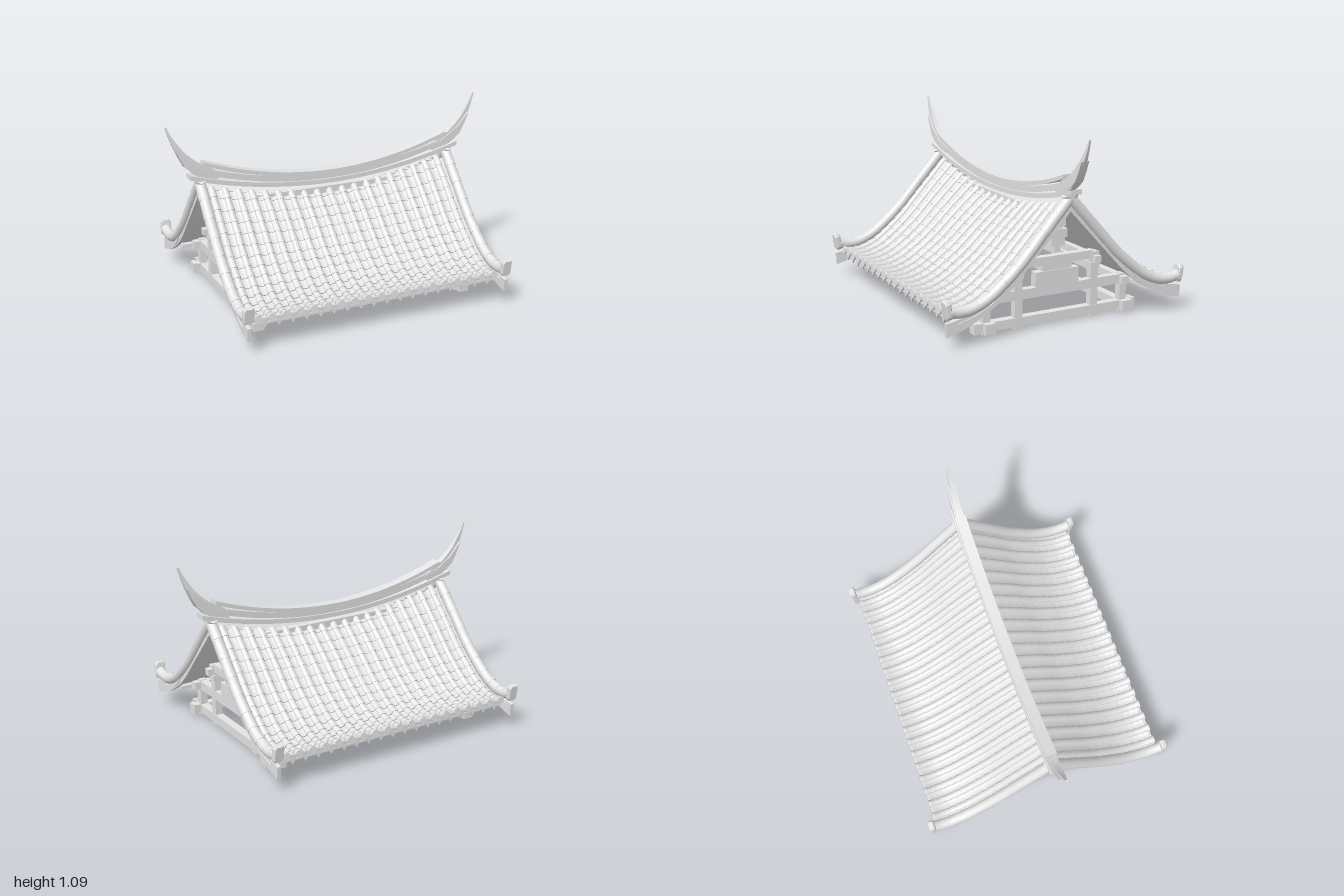
import * as THREE from 'three';
import { toCreasedNormals } from 'three/addons/utils/BufferGeometryUtils.js';

const V2 = (x, y) => new THREE.Vector2(x, y);
const stone = new THREE.MeshStandardMaterial({ color: 0xe4e4e4, side: THREE.DoubleSide });
stone.name = 'pale grey';

// gable edge line, and both edges of the gable board, as (z, y)
const verge = new THREE.SplineCurve([[0, 0.745], [0.1, 0.635], [0.2, 0.525], [0.3, 0.415], [0.4, 0.325],
  [0.5, 0.25], [0.6, 0.207], [0.68, 0.2], [0.74, 0.212]].map(p => V2(...p)));
const boardTop = new THREE.SplineCurve([[0, 0.75], [0.2, 0.525], [0.4, 0.315], [0.6, 0.19], [0.755, 0.15]].map(p => V2(...p)));
const boardLow = new THREE.SplineCurve([[0, 0.67], [0.2, 0.455], [0.4, 0.25], [0.6, 0.125], [0.75, 0.075]].map(p => V2(...p)));

function add(parent, geo, name, x = 0, y = 0, z = 0) {
  const m = new THREE.Mesh(geo, stone);
  m.name = name;
  m.position.set(x, y, z);
  parent.add(m);
  return m;
}

// joins cross-sections (arrays of [x, y, z]) into one skin
function loft(sections, closed, capped) {
  const n = sections[0].length, idx = [];
  for (let i = 0; i < sections.length - 1; i++)
    for (let j = 0; j < (closed ? n : n - 1); j++) {
      const a = i * n + j, c = i * n + (j + 1) % n;
      idx.push(a, c, a + n, a + n, c, c + n);
    }
  if (capped) {
    const e = (sections.length - 1) * n;
    for (let j = 1; j < n - 1; j++) idx.push(0, j + 1, j, e, e + j, e + j + 1);
  }
  const g = new THREE.BufferGeometry();
  g.setAttribute('position', new THREE.Float32BufferAttribute(sections.flat(2), 3));
  g.setIndex(idx);
  return toCreasedNormals(g, 0.6);
}

// point on the sagging slope with its upward normal
function slope(t, x) {
  const p = verge.getPoint(t), d = verge.getTangent(t);
  const sag = 0.11 * Math.max(0, 1 - (x / 0.78) ** 2) * Math.max(0, 1 - p.x / 0.72) ** 2;
  return { z: p.x, y: p.y - 0.03 - sag, nz: -d.y, ny: d.x };
}

// overlapping pieces down the slope; shape(k) gives [sideways, height] pairs,
// back extends the top end past the ridge line
function tileRun(x, count, end, shape, closed, capped, lift = 0, back = 0) {
  const sections = [];
  for (let i = 0; i < count; i++)
    for (const k of [0, 0.5, 1]) {
      const p = slope((i + k) / count * end, x), b = i + k === 0 ? back : 0;
      sections.push(shape(k).map(([u, h]) =>
        [x + u, p.y + lift + p.ny * h + p.nz * b, p.z + p.nz * h - p.ny * b]));
    }
  return loft(sections, closed, capped);
}
const arc = (r, sweep, n) => Array.from({ length: n + 1 }, (_, j) =>
  [r * Math.cos(sweep * j / n), r * Math.sin(sweep * j / n)]);

// bar running along x; rows are [xLow, yLow, xTop, yTop, halfWidth]
const bar = rows => loft(rows.map(([xl, yl, xt, yt, w]) =>
  [[xt, yt, -w], [xt, yt, w], [xl, yl, w], [xl, yl, -w]]), true, true);

function ridgeLayer(length, low, high, rise, w) {
  return bar(Array.from({ length: 33 }, (_, i) => {
    const x = (i / 16 - 1) * length, d = rise * (x / 0.8) ** 2;
    return [x, low + d, x, high + d, w];
  }));
}

function makeSlope() {
  const half = new THREE.Group();
  half.name = 'roofSlope';
  const END = 0.945, edge = slope(END, 0);

  // underside boarding
  const under = [];
  for (let i = 0; i <= 20; i++)
    under.push(Array.from({ length: 17 }, (_, j) => {
      const x = 0.8 - j * 0.1, p = slope(i / 20 * END, x);
      return [x, p.y - 0.02, p.z];
    }));
  add(half, loft(under, false, false), 'roofBoarding');

  // round cover tiles with end discs
  for (let i = 0; i < 19; i++) {
    const x = (i - 9) * 0.0822;
    add(half, tileRun(x, 15, END, k => arc(0.02 + 0.004 * k, Math.PI, 8), false, true), 'coverTiles');
    const disc = add(half, new THREE.CylinderGeometry(0.024, 0.024, 0.012, 14), 'eaveDisc', x, edge.y + 0.002, edge.z);
    disc.rotation.x = Math.PI / 2 - 0.1;
  }
  // dished pan tiles with hanging drip plates
  const drip = new THREE.Shape([[-0.024, 0.008], [-0.02, -0.02], [0, -0.05], [0.02, -0.02], [0.024, 0.008]].map(p => V2(...p)));
  const dripGeo = new THREE.ExtrudeGeometry(drip, { depth: 0.008, bevelEnabled: false });
  for (let i = 0; i < 18; i++) {
    const x = (i - 8.5) * 0.0822;
    const pan = k => [1, 0.5, 0, -0.5, -1].map(u => [u * 0.034, 0.01 * u * u - 0.01 + 0.006 * k]);
    add(half, tileRun(x, 15, END, pan, false, false), 'panTiles');
    add(half, dripGeo, 'dripPlate', x, edge.y - 0.006, edge.z - 0.012);
  }
  add(half, new THREE.BoxGeometry(1.52, 0.025, 0.02), 'eaveBoard', 0, edge.y - 0.03, edge.z - 0.03);
  add(half, new THREE.BoxGeometry(1.5, 0.02, 0.02), 'eaveBatten', 0, 0.142, 0.575);

  // gable edges on both sides
  const leaf = new THREE.Shape();
  leaf.moveTo(0.42, 0.275);
  leaf.quadraticCurveTo(0.52, 0.18, 0.69, 0.142);
  leaf.quadraticCurveTo(0.58, 0.14, 0.5, 0.19);
  leaf.quadraticCurveTo(0.44, 0.225, 0.42, 0.275);
  const leafGeo = new THREE.ExtrudeGeometry(leaf, { depth: 0.008, bevelEnabled: false }).rotateY(-Math.PI / 2);
  const knob = new THREE.Shape([[-0.026, -0.032], [-0.018, -0.046], [0.018, -0.046], [0.026, -0.032],
    [0.026, 0.032], [0.018, 0.046], [-0.018, 0.046], [-0.026, 0.032]].map(p => V2(...p)));
  const knobGeo = new THREE.ExtrudeGeometry(knob, { depth: 0.02, bevelSize: 0.005, bevelThickness: 0.007, bevelSegments: 1 });
  for (const s of [-1, 1]) {
    const x = 0.805 * s;
    const round = k => arc(0.031 + 0.002 * k, 2 * Math.PI, 16).slice(0, 16);
    add(half, tileRun(x, 10, 1, round, true, true, 0.03, 0.035), 'vergeTiles');
    const board = [];
    for (let i = 0; i <= 20; i++) {
      const a = boardTop.getPoint(i / 20), b = boardLow.getPoint(i / 20);
      board.push([[x + 0.011, a.y, a.x], [x - 0.011, a.y, a.x], [x - 0.011, b.y, b.x], [x + 0.011, b.y, b.x]]);
    }
    add(half, loft(board, true, true), 'gableBoard');
    add(half, leafGeo, 'gableBoardCarving', s > 0 ? 0.822 : -0.814);
    add(half, knobGeo, 'vergeEndBlock', x, 0.225, 0.734).rotation.x = 0.15;
  }
  return half;
}

function makeRidge() {
  const ridge = new THREE.Group();
  ridge.name = 'ridge';
  add(ridge, ridgeLayer(0.87, 0.645, 0.672, 0.109, 0.035), 'ridgeBase');
  add(ridge, ridgeLayer(0.82, 0.67, 0.706, 0.13, 0.024), 'ridgeBody');
  add(ridge, ridgeLayer(0.785, 0.704, 0.727, 0.15, 0.033), 'ridgeCap');
  // upswept horns
  for (const turn of [0, Math.PI]) {
    const horn = new THREE.Group();
    horn.name = 'ridgeHorn';
    horn.rotation.y = turn;
    add(horn, bar([[0.7, 0.755, 0.7, 0.8, 0.02], [0.79, 0.77, 0.76, 0.84, 0.02], [0.85, 0.805, 0.81, 0.862, 0.019],
      [0.895, 0.855, 0.865, 0.908, 0.017], [0.928, 0.912, 0.905, 0.95, 0.014], [0.957, 0.97, 0.94, 1.0, 0.01],
      [0.98, 1.03, 0.968, 1.045, 0.007], [0.998, 1.088, 0.99, 1.092, 0.004]]), 'hornBlade');
    add(horn, bar([[0.66, 0.765, 0.66, 0.785, 0.027], [0.78, 0.785, 0.77, 0.815, 0.027], [0.85, 0.81, 0.83, 0.86, 0.026],
      [0.895, 0.85, 0.876, 0.89, 0.026], [0.925, 0.905, 0.913, 0.93, 0.025], [0.953, 0.968, 0.95, 0.972, 0.024]]), 'hornCarving');
    ridge.add(horn);
  }
  return ridge;
}

function makeFrame() {
  const frame = new THREE.Group();
  frame.name = 'timberFrame';
  const box = (name, w, h, d, x, y, z) => add(frame, new THREE.BoxGeometry(w, h, d), name, x, y, z);
  for (const s of [-1, 1]) {
    const x = 0.66 * s;
    // cross beams, stacked up the gable
    box('sillCrossBeam', 0.05, 0.052, 1.03, x, 0.042, 0);
    box('lowerCrossBeam', 0.045, 0.055, 0.9, x, 0.197, 0);
    box('upperCrossBeam', 0.045, 0.048, 0.48, x, 0.369, 0);
    box('strutBlock', 0.05, 0.085, 0.28, x, 0.268, 0);
    box('strutBlockTop', 0.04, 0.035, 0.19, x, 0.328, 0);
    // bracket below the ridge beam
    box('ridgeBracketFoot', 0.045, 0.04, 0.04, x, 0.43, 0);
    box('ridgeBracketLower', 0.06, 0.045, 0.085, x, 0.472, 0);
    box('ridgeBracketUpper', 0.075, 0.05, 0.11, x, 0.52, 0);
    box('ridgeBracketNeck', 0.05, 0.06, 0.06, x, 0.565, 0);
    for (const q of [-1, 1]) {
      box('outerPost', 0.045, 0.22, 0.045, x, 0.118, 0.445 * q);
      box('outerPostFoot', 0.065, 0.02, 0.065, x, 0.014, 0.445 * q);
      box('innerPost', 0.045, 0.37, 0.048, x, 0.186, 0.247 * q);
      box('innerPostHead', 0.06, 0.035, 0.06, x, 0.305, 0.247 * q);
      box('innerPostCap', 0.06, 0.035, 0.05, x, 0.367, 0.25 * q);
      box('sillCrossBeamEnd', 0.062, 0.062, 0.025, x, 0.042, 0.513 * q);
      box('sillBeamEnd', 0.025, 0.062, 0.062, 0.72 * s, 0.045, 0.445 * q);
    }
  }
  // long beams
  for (const q of [-1, 1]) {
    box('sillBeam', 1.44, 0.05, 0.05, 0, 0.045, 0.445 * q);
    box('lowerPurlin', 1.44, 0.045, 0.045, 0, 0.195, 0.44 * q);
    box('upperPurlin', 1.44, 0.04, 0.04, 0, 0.345, 0.25 * q);
  }
  box('ridgeBeam', 1.46, 0.055, 0.045, 0, 0.595, 0);
  return frame;
}

export function createModel() {
  const model = new THREE.Group();
  model.name = 'curvedTileRoof';
  const front = makeSlope(), back = makeSlope();
  back.rotation.y = Math.PI;
  model.add(front, back, makeRidge(), makeFrame());
  return model;
}
